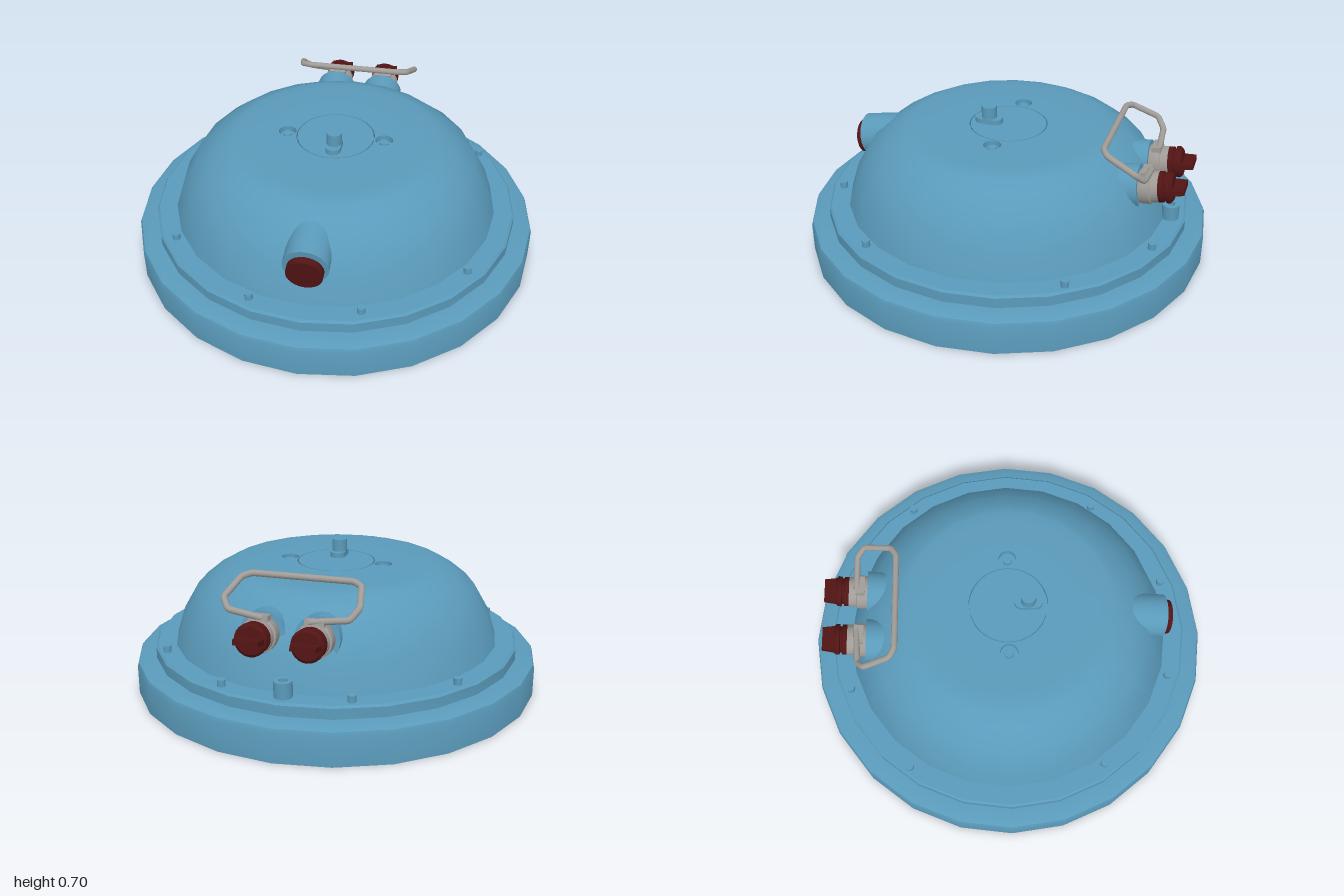
import * as THREE from 'three';
import { toCreasedNormals } from 'three/addons/utils/BufferGeometryUtils.js';

const paint = (color) => new THREE.MeshStandardMaterial({ color, side: THREE.DoubleSide });
const blue = paint(0x5a9aba);
const red = paint(0x521414);
const grey = paint(0xa09c98);

function add(parent, name, geometry, material, x = 0, y = 0, z = 0) {
  const mesh = new THREE.Mesh(geometry, material);
  mesh.name = name;
  mesh.position.set(x, y, z);
  parent.add(mesh);
  return mesh;
}

// Turned part from [radius, height] pairs, with sharp edges kept
function turned(points, sides = 24) {
  const profile = points.map(([r, h]) => new THREE.Vector2(r, h));
  return toCreasedNormals(new THREE.LatheGeometry(profile, sides), 0.6);
}

// Turned part whose axis points along +z
const turnedZ = (points, sides) => turned(points, sides).rotateX(Math.PI / 2);

const disc = (r0, h, sides = 20) => new THREE.CylinderGeometry(r0, r0, h, sides);

// Flat plate lying in the ground plane, thickness upwards
function plate(shape, depth) {
  const g = new THREE.ExtrudeGeometry(shape, { depth, bevelEnabled: false, curveSegments: 24 });
  return g.rotateX(-Math.PI / 2);
}

function circle(PathType, r, x = 0, y = 0) {
  const p = new PathType();
  p.absarc(x, y, r, 0, Math.PI * 2, false);
  return p;
}

export function createModel() {
  const model = new THREE.Group();
  model.name = 'domedCase';

  // Base, stepped rim and dome
  add(model, 'baseAndRim', turned([
    [0, 0], [1, 0], [1, 0.14], [0.993, 0.16], [0.97, 0.17], [0.905, 0.175],
    [0.905, 0.225], [0.895, 0.235], [0.78, 0.235],
  ]), blue);
  add(model, 'dome', turned([
    [0.805, 0.235], [0.765, 0.36], [0.69, 0.49], [0.605, 0.56],
    [0.535, 0.598], [0.5, 0.608], [0.44, 0.61], [0.3, 0.61],
  ]), blue);

  // Flat crown with a circular groove and two screw recesses
  const crown = circle(THREE.Shape, 0.3);
  crown.holes.push(circle(THREE.Path, 0.192));
  for (const s of [-1, 1]) crown.holes.push(circle(THREE.Path, 0.043, s * 0.24));
  add(model, 'crown', plate(crown, 0.03), blue, 0, 0.58);
  add(model, 'crownLid', disc(0.187, 0.03, 24), blue, 0, 0.595);
  add(model, 'recessFloor', disc(0.29, 0.01, 24), blue, 0, 0.575);
  for (const s of [-1, 1]) add(model, 'recessScrew', disc(0.022, 0.02, 12), blue, s * 0.24, 0.59);

  // Stem on a slot-shaped foot
  const foot = new THREE.Shape();
  foot.absarc(0, 0.032, 0.037, 0, Math.PI, false);
  foot.absarc(0, -0.032, 0.037, Math.PI, Math.PI * 2, false);
  add(model, 'stemFoot', plate(foot, 0.025), blue, 0.01, 0.61, 0.098);
  add(model, 'stem', disc(0.037, 0.085), blue, 0.01, 0.653, 0.097);

  // Front socket with its plug
  const front = new THREE.Group();
  front.name = 'frontSocket';
  front.position.set(0, 0.425, 0.765);
  front.rotation.x = 0.17;
  model.add(front);
  add(front, 'socketBody', turnedZ([[0, -0.35], [0.106, -0.35], [0.106, 0], [0, 0]]), blue);
  add(front, 'plug', turnedZ([[0, 0], [0.085, 0], [0.085, 0.035], [0, 0.035]]), red, 0, -0.012);

  // Two rear sockets with collars and keyed caps
  for (const x of [-0.115, 0.138]) {
    const rear = new THREE.Group();
    rear.name = 'rearSocket';
    rear.position.set(x, 0.463, -0.7);
    rear.rotation.set(0.14, Math.PI, 0);
    model.add(rear);
    add(rear, 'socketBody', turnedZ([[0, -0.3], [0.104, -0.3], [0.104, 0], [0, 0]]), blue);
    add(rear, 'collar', turnedZ([
      [0.07, -0.02], [0.082, 0], [0.082, 0.05], [0.074, 0.055], [0.074, 0.09], [0, 0.09],
    ]), grey);
    add(rear, 'cap', turnedZ([
      [0.06, 0.085], [0.073, 0.09], [0.073, 0.112], [0.064, 0.115], [0.064, 0.123],
      [0.075, 0.126], [0.075, 0.143], [0.062, 0.155], [0, 0.155],
    ]), red);
    // Grip blade, slightly flared towards the cap
    const blade = new THREE.BoxGeometry(0.13, 0.024, 0.06);
    const p = blade.attributes.position;
    for (let i = 0; i < p.count; i++) if (p.getZ(i) > 0) p.setX(i, p.getX(i) * 0.87);
    add(rear, 'capGrip', blade, red, 0, 0, 0.18);
    add(rear, 'wireClip', new THREE.BoxGeometry(0.09, 0.03, 0.045), grey, 0, 0.078, 0.035);
  }

  // Bent wire handle hinged on the two collars
  const corners = [
    [-0.09, 0.55, -0.735], [-0.265, 0.57, -0.722], [-0.3, 0.615, -0.685],
    [-0.275, 0.672, -0.56], [-0.235, 0.683, -0.535], [0.24, 0.683, -0.535],
    [0.28, 0.672, -0.56], [0.313, 0.615, -0.7], [0.28, 0.575, -0.737], [0.12, 0.55, -0.74],
  ].map((c) => new THREE.Vector3(...c));
  const wire = new THREE.CurvePath();
  for (let i = 1; i < corners.length; i++) {
    // straight run between corners, each corner softened by a short arc
    const a = corners[i - 1], b = corners[i];
    const start = i === 1 ? a : a.clone().lerp(b, Math.min(0.3, 0.015 / a.distanceTo(b)));
    const cut = Math.min(0.3, 0.015 / a.distanceTo(b));
    const end = i === corners.length - 1 ? b : b.clone().lerp(a, cut);
    wire.add(new THREE.LineCurve3(start, end));
    if (i < corners.length - 1) {
      const c = corners[i + 1];
      const next = b.clone().lerp(c, Math.min(0.3, 0.015 / b.distanceTo(c)));
      wire.add(new THREE.QuadraticBezierCurve3(end, b, next));
    }
  }
  add(model, 'wireHandle', new THREE.TubeGeometry(wire, 140, 0.015, 10), grey);

  // Studs around the rim
  for (const s of [-1, 1]) {
    for (const [x, z] of [[0.298, -0.8], [0.702, -0.497], [0.702, 0.46], [0.256, 0.803]]) {
      add(model, 'rimStud', disc(0.019, 0.04, 14), blue, s * x, 0.247, z);
    }
  }

  // Hollow post behind the rear sockets
  add(model, 'rearPost', turned([
    [0.042, 0.225], [0.042, 0.31], [0.02, 0.31], [0.02, 0.27], [0, 0.27],
  ], 20), blue, 0, 0, -0.83);

  return model;
}
